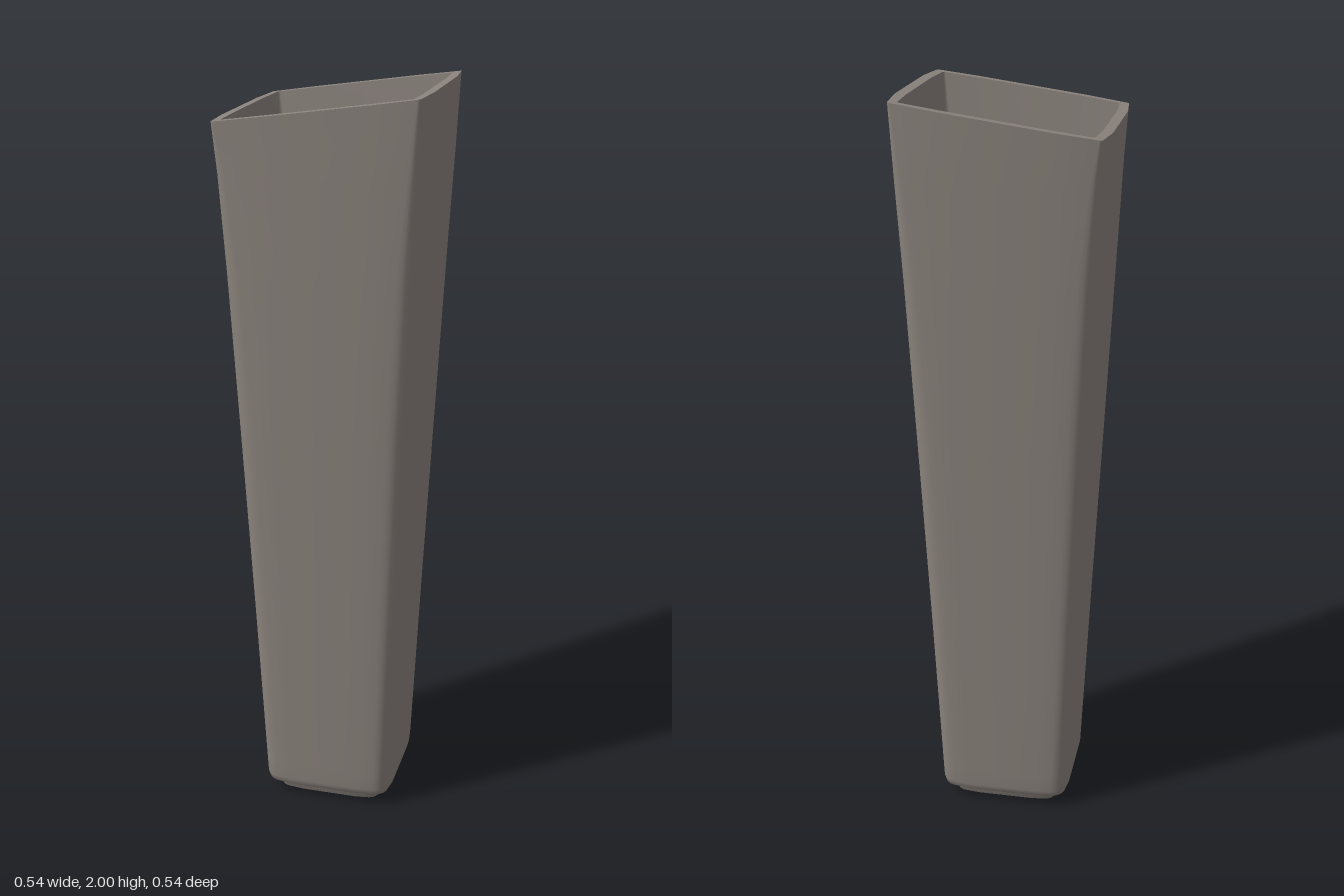
import * as THREE from 'three';

const ARC = 5; // segments per rounded corner

// Rounded square with slightly bulged sides: half width w, corner radius r, bulge b
function section(w, r, b) {
  const pts = [];
  const c = w - b - r;
  for (let k = 0; k < 4; k++) {
    const side = [[w, -0.54 * w], [w, 0], [w, 0.54 * w]];
    for (let i = 0; i <= ARC; i++) {
      const a = (i / ARC) * Math.PI / 2;
      side.push([c + r * Math.cos(a), c + r * Math.sin(a)]);
    }
    const cos = Math.round(Math.cos(k * Math.PI / 2));
    const sin = Math.round(Math.sin(k * Math.PI / 2));
    side.forEach(([x, z]) => pts.push([x * cos - z * sin, x * sin + z * cos]));
  }
  return pts;
}

// The mouth is cut on a slant, higher at +x
const slant = (x) => 1.9625 + 0.14 * x;

// Skin a list of rings [y, w, r, b]; y = 'top' follows the slanted mouth
function loft(name, rings, material) {
  const pos = [], index = [];
  let n = 0;
  rings.forEach(([y, w, r, b]) => {
    const pts = section(w, r, b);
    n = pts.length;
    pts.forEach(([x, z]) => pos.push(x, y === 'top' ? slant(x) : y, z));
  });
  for (let j = 0; j < rings.length - 1; j++) {
    for (let i = 0; i < n; i++) {
      const a = j * n + i, b = j * n + (i + 1) % n;
      index.push(a, a + n, b, b, a + n, b + n);
    }
  }
  const geo = new THREE.BufferGeometry();
  geo.setAttribute('position', new THREE.Float32BufferAttribute(pos, 3));
  geo.setIndex(index);
  geo.computeVertexNormals();
  const mesh = new THREE.Mesh(geo, material);
  mesh.name = name;
  return mesh;
}

export function createModel() {
  const group = new THREE.Group();
  group.name = 'taperedVase';
  const clay = new THREE.MeshStandardMaterial({ color: 0x8b837d });
  clay.name = 'warmGreyCeramic';

  // Recessed underside and foot ring
  group.add(loft('footRecess', [
    [0.022, 0.001, 0.0002, 0],
    [0.022, 0.108, 0.02, 0.003],
    [0.018, 0.116, 0.022, 0.003],
    [0.004, 0.122, 0.024, 0.003],
    [0, 0.127, 0.025, 0.003],
  ], clay));
  group.add(loft('footRing', [
    [0, 0.127, 0.025, 0.003],
    [0, 0.142, 0.03, 0.004],
    [0.004, 0.147, 0.03, 0.004],
    [0.022, 0.151, 0.032, 0.004],
    [0.029, 0.156, 0.034, 0.004],
  ], clay));

  // Outer wall, corners sharpening towards the mouth
  group.add(loft('outerWall', [
    [0.029, 0.156, 0.034, 0.004],
    [0.031, 0.17, 0.038, 0.005],
    [0.038, 0.179, 0.04, 0.005],
    [0.055, 0.183, 0.04, 0.005],
    [0.1, 0.185, 0.04, 0.005],
    [0.6, 0.207, 0.043, 0.006],
    [1.1, 0.23, 0.045, 0.007],
    [1.55, 0.25, 0.04, 0.008],
    [1.8, 0.261, 0.025, 0.009],
    ['top', 0.268, 0.008, 0.01],
  ], clay));

  // Flat slanted rim
  group.add(loft('rim', [
    ['top', 0.268, 0.008, 0.01],
    ['top', 0.243, 0.006, 0.005],
  ], clay));

  // Hollow inside and its floor
  group.add(loft('innerWall', [
    ['top', 0.243, 0.006, 0.005],
    [1.8, 0.236, 0.02, 0.005],
    [1.5, 0.224, 0.03, 0.005],
    [0.8, 0.194, 0.03, 0.005],
    [0.1, 0.164, 0.026, 0.005],
    [0.075, 0.161, 0.025, 0.005],
    [0.064, 0.153, 0.023, 0.005],
    [0.06, 0.143, 0.02, 0.004],
    [0.06, 0.001, 0.0002, 0],
  ], clay));

  return group;
}
